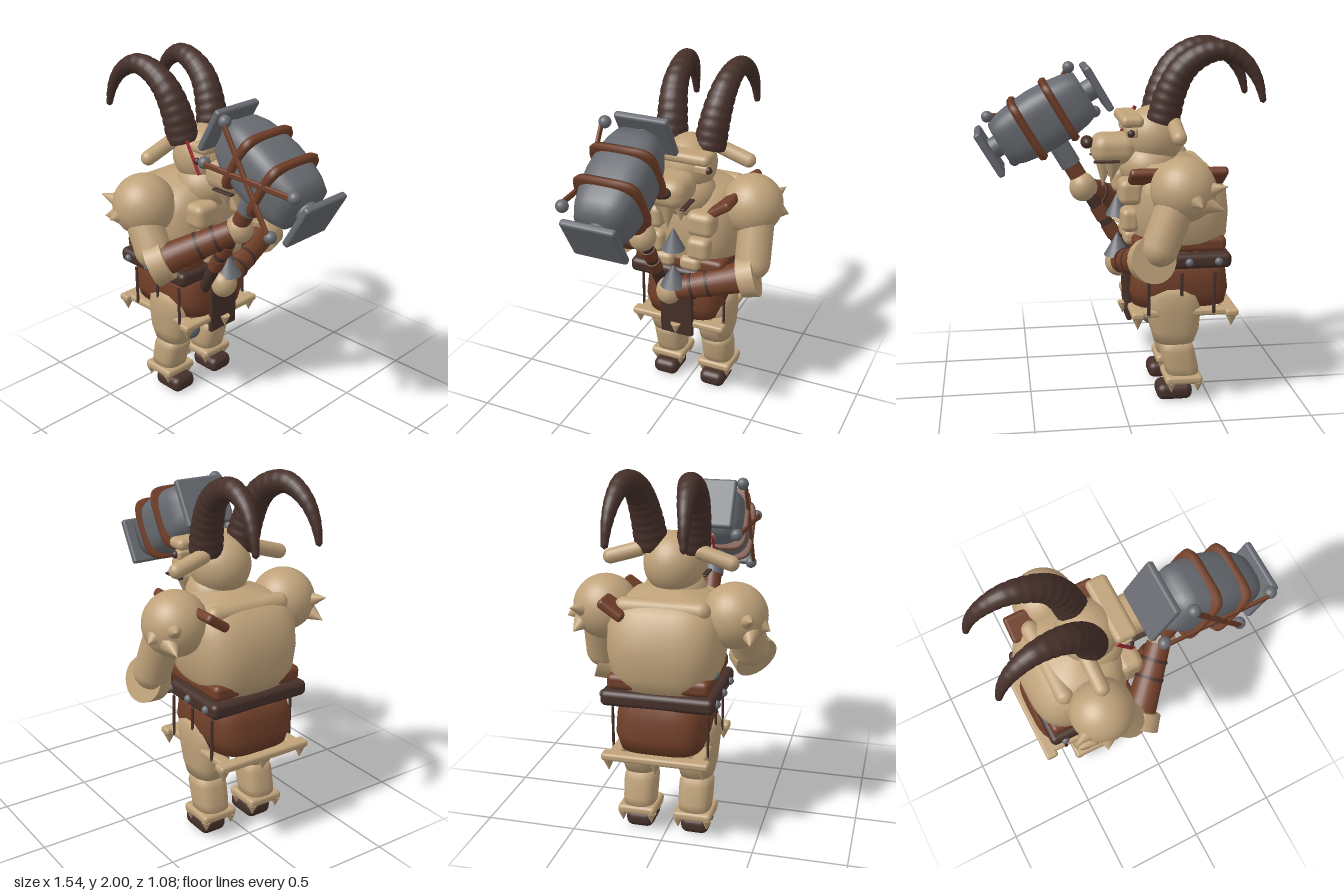
import * as THREE from 'three';
import { RoundedBoxGeometry } from 'three/addons/geometries/RoundedBoxGeometry.js';

const V = (x, y, z) => new THREE.Vector3(x, y, z);
const UP = V(0, 1, 0);

export function createModel() {
  const root = new THREE.Group();
  const mat = (name, color) => Object.assign(new THREE.MeshStandardMaterial({ color }), { name });
  const tan = mat('tan hide', 0xbfa27a), brown = mat('brown leather', 0x713f29);
  const dark = mat('dark horn', 0x46302a), grey = mat('grey iron', 0x676a70), red = mat('red paint', 0xa0262f);

  const add = (name, geo, m, p = [0, 0, 0], parent = root) => {
    const mesh = new THREE.Mesh(geo, m);
    mesh.name = name;
    mesh.position.set(...p);
    parent.add(mesh);
    return mesh;
  };
  const box = (name, m, p, size, r = 0.015, parent = root) =>
    add(name, new RoundedBoxGeometry(...size, 3, Math.min(r, Math.min(...size) * 0.49)), m, p, parent);
  const ball = (name, m, p, rx, ry = rx, rz = rx, parent = root) => {
    const b = add(name, new THREE.SphereGeometry(1, 28, 18), m, p, parent);
    b.scale.set(rx, ry, rz);
    return b;
  };
  // Cylinder from a (radius ra) to b (radius rb)
  const rod = (name, m, a, b, ra, rb = ra, parent = root) => {
    const A = V(...a), B = V(...b), d = B.clone().sub(A);
    const c = add(name, new THREE.CylinderGeometry(rb, ra, d.length(), 24), m, A.clone().add(B).multiplyScalar(0.5).toArray(), parent);
    c.quaternion.setFromUnitVectors(UP, d.normalize());
    return c;
  };
  const bar = (name, m, a, b, r) => {
    const A = V(...a), B = V(...b), d = B.clone().sub(A);
    const c = add(name, new THREE.CapsuleGeometry(r, d.length(), 8, 18), m, A.clone().add(B).multiplyScalar(0.5).toArray());
    c.quaternion.setFromUnitVectors(UP, d.normalize());
    return c;
  };
  const spike = (name, m, base, tip, r) => rod(name, m, base, tip, r, 0);

  // Loft of rounded-square rings [y, halfX, halfZ, centreX, centreZ]
  const loft = (rings, n = 3, seg = 40) => {
    const pos = [], idx = [];
    const pw = (v) => Math.sign(v) * Math.abs(v) ** (2 / n);
    rings.forEach(([y, hx, hz, cx = 0, cz = 0], i) => {
      for (let j = 0; j < seg; j++) {
        const a = (j / seg) * Math.PI * 2;
        pos.push(cx + hx * pw(Math.cos(a)), y, cz + hz * pw(Math.sin(a)));
        if (i === rings.length - 1) continue;
        const k = (j + 1) % seg, p = i * seg, q = p + seg;
        idx.push(p + j, q + j, p + k, q + j, q + k, p + k);
      }
    });
    const g = new THREE.BufferGeometry();
    g.setAttribute('position', new THREE.Float32BufferAttribute(pos, 3));
    g.setIndex(idx);
    g.computeVertexNormals();
    return g;
  };

  // Torso
  add('torso', loft([[0.85, 0, 0, -0.33], [0.86, 0.22, 0.24, -0.33], [0.96, 0.265, 0.285, -0.33], [1.08, 0.275, 0.305, -0.325],
    [1.2, 0.265, 0.3, -0.32], [1.29, 0.225, 0.27, -0.3], [1.35, 0.16, 0.2, -0.28], [1.38, 0, 0, -0.27]]), tan);
  bar('upperBack', tan, [-0.44, 1.3, -0.2], [-0.44, 1.3, 0.2], 0.05);
  ball('neck', tan, [-0.17, 1.32, 0], 0.16, 0.14, 0.17);
  for (const s of [1, -1]) {
    box('chestPlate', tan, [-0.05, 1.21, s * 0.15], [0.13, 0.14, 0.16], 0.04);
    box('upperBellyPlate', tan, [-0.05, 1.05, s * 0.135], [0.1, 0.13, 0.13], 0.035);
    box('lowerBellyPlate', tan, [-0.06, 0.94, s * 0.08], [0.08, 0.08, 0.12], 0.03);
  }
  // Iron pendants on the chest and the belt
  for (const [y, r] of [[1.1, 0.065], [0.87, 0.075]])
    spike('pendant', grey, [0.0, y - 0.06, 0], [0.0, y + 0.07, 0], r);
  const strap = box('shoulderStrap', brown, [-0.29, 1.3, -0.245], [0.52, 0.05, 0.15], 0.02);
  strap.rotation.x = 0.6;

  // Belts, skirt, hem and loincloth
  box('upperBelt', brown, [-0.31, 0.925, 0], [0.5, 0.085, 0.54], 0.03);
  box('belt', dark, [-0.32, 0.84, 0], [0.53, 0.085, 0.6], 0.03);
  for (const s of [1, -1]) for (const x of [-0.51, -0.35, -0.18]) ball('beltStud', grey, [x, 0.84, s * 0.3], 0.022);
  ball('upperStud', grey, [-0.42, 0.96, 0.27], 0.024);
  add('skirt', loft([[0.555, 0, 0, -0.33], [0.56, 0.265, 0.22, -0.33], [0.64, 0.278, 0.245, -0.33], [0.74, 0.265, 0.24, -0.33],
    [0.84, 0.24, 0.22, -0.33], [0.85, 0, 0, -0.33]], 4), brown);
  for (const s of [1, -1]) {
    for (const [x, y, h] of [[-0.5, 0.65, 0.24], [-0.32, 0.7, 0.14], [-0.14, 0.65, 0.24]])
      box('skirtStrip', dark, [x, y, s * 0.255], [0.018, h, 0.012], 0.005);
    box('sideHem', tan, [-0.33, 0.535, s * 0.22], [0.56, 0.04, 0.07], 0.015);
  }
  for (const x of [-0.6, -0.08]) {
    box('crossHem', tan, [x, 0.535, 0], [0.07, 0.04, 0.57], 0.015);
    for (const z of [-0.25, 0, 0.25]) spike('hemSpike', tan, [x, 0.525, z], [x, 0.45, z], 0.035);
  }
  const cloth = box('loincloth', dark, [-0.05, 0.61, 0], [0.03, 0.32, 0.2], 0.01);
  cloth.rotation.z = -0.04;
  spike('loinclothTooth', tan, [-0.03, 0.53, 0], [-0.03, 0.46, 0], 0.03);

  // Legs
  for (const s of [1, -1]) {
    const z = s * 0.155;
    add('thigh', loft([[0.34, 0, 0, -0.3, z], [0.35, 0.11, 0.09, -0.3, z], [0.42, 0.135, 0.105, -0.3, z], [0.55, 0.155, 0.115, -0.29, z],
      [0.63, 0.155, 0.112, -0.28, z], [0.67, 0.1, 0.09, -0.28, z], [0.68, 0, 0, -0.28, z]], 2.6), tan);
    add('shin', loft([[0.13, 0, 0, -0.35, z], [0.14, 0.09, 0.085, -0.35, z], [0.2, 0.095, 0.09, -0.34, z], [0.3, 0.097, 0.092, -0.315, z],
      [0.345, 0.085, 0.08, -0.31, z], [0.355, 0, 0, -0.31, z]], 2.8), tan);
    box('ankleCuff', tan, [-0.345, 0.135, z], [0.21, 0.05, 0.21], 0.02);
    for (const dx of [-0.08, 0.07]) for (const dz of [-0.08, 0.08])
      spike('ankleSpike', tan, [-0.345 + dx, 0.12, z + dz], [-0.345 + dx, 0.06, z + dz], 0.028);
    box('hoof', dark, [-0.3, 0.053, z], [0.2, 0.095, 0.155], 0.04);
  }
  ball('kneePatch', grey, [-0.215, 0.41, 0.105], 0.06);

  // Arms: shoulder, elbow and hand positions differ on each side
  const arms = [
    { s: 1, elbow: [-0.13, 0.98, 0.42], hand: [0.18, 1.18, 0.1] },
    { s: -1, elbow: [-0.13, 0.9, -0.42], hand: [-0.01, 0.76, 0.03] },
  ];
  for (const { s, elbow, hand } of arms) {
    const E = V(...elbow), H = V(...hand), at = (t) => E.clone().lerp(H, t).toArray();
    ball('shoulder', tan, [-0.3, 1.25, s * 0.345], 0.172);
    bar('upperArm', tan, [-0.25, 1.17, s * 0.39], [-0.17, elbow[1] + 0.06, s * 0.405], 0.1);
    rod('elbowCuff', tan, at(-0.05), at(0.14), 0.125, 0.115);
    rod('forearm', brown, at(0.1), at(0.9), 0.088, 0.065);
    for (const t of [0.5, 0.7]) rod('forearmBand', dark, at(t), at(t + 0.035), 0.08 - 0.02 * (t - 0.5), 0.078 - 0.02 * (t - 0.5));
    ball('hand', tan, hand, 0.075, 0.082, 0.075);
    spike('shoulderSpike', tan, [-0.41, 1.26, s * 0.42], [-0.51, 1.29, s * 0.47], 0.05);
    spike('shoulderSpike', tan, [-0.4, 1.19, s * 0.44], [-0.5, 1.16, s * 0.46], 0.05);
    spike('shoulderSpike', tan, [-0.34, 1.22, s * 0.49], [-0.36, 1.2, s * 0.54], 0.045);
  }

  // Head
  ball('cranium', tan, [-0.2, 1.48, 0], 0.168, 0.165, 0.16);
  box('brow', tan, [-0.06, 1.58, -0.01], [0.12, 0.06, 0.37], 0.028);
  box('snout', tan, [0.02, 1.415, 0], [0.25, 0.165, 0.22], 0.07);
  ball('nose', dark, [0.165, 1.45, 0], 0.035, 0.035, 0.06);
  for (const s of [1, -1]) {
    bar('ear', tan, [-0.28, 1.565, s * 0.16], [-0.28, 1.515, s * 0.32], 0.04);
    box('mouthLine', dark, [0.07, 1.36, s * 0.112], [0.14, 0.012, 0.03], 0.004);
    box('eyeSocket', tan, [-0.06, 1.52, s * 0.14], [0.06, 0.05, 0.08], 0.015);
    ball('eye', dark, [-0.05, 1.52, s * 0.18], 0.02);
  }
  const scar = box('scar', red, [-0.08, 1.53, 0.185], [0.022, 0.19, 0.009], 0.004);
  scar.rotation.z = 0.5;
  // Beard tufts
  for (const [x, z, l] of [[0.07, 0, 0.15], [0.03, 0.06, 0.11], [0.03, -0.06, 0.11]])
    spike('beard', tan, [x, 1.36, z], [x + 0.01, 1.35 - l, z], 0.055);

  // Horns: tapered, ridged tubes
  for (const s of [1, -1]) {
    const curve = new THREE.CatmullRomCurve3([[-0.23, 1.57, 0.11], [-0.265, 1.72, 0.125], [-0.33, 1.85, 0.14], [-0.43, 1.925, 0.15],
      [-0.54, 1.945, 0.162], [-0.655, 1.885, 0.175], [-0.72, 1.79, 0.185], [-0.755, 1.67, 0.19]].map(([x, y, z]) => V(x, y, s * z)));
    const N = 72, R = 20, g = new THREE.TubeGeometry(curve, N, 1, R);
    const p = g.attributes.position, v = V(0, 0, 0);
    for (let i = 0; i <= N; i++) {
      const t = i / N, c = curve.getPointAt(t);
      const r = i === N ? 0 : (0.09 - 0.075 * t ** 1.4) * (i % 4 === 0 ? 0.95 : 1);
      for (let j = 0; j <= R; j++) {
        const k = i * (R + 1) + j;
        v.fromBufferAttribute(p, k).sub(c).multiplyScalar(r).add(c);
        p.setXYZ(k, v.x, v.y, v.z);
      }
    }
    g.computeVertexNormals();
    add('horn', g, dark);
  }

  // War hammer: handle along local y, head along local x
  const hammer = new THREE.Group();
  hammer.name = 'hammer';
  hammer.position.set(0.395, 1.565, 0.11);
  hammer.rotation.z = -0.53;
  root.add(hammer);
  rod('handle', dark, [0, -1.03, 0], [0, -0.1, 0], 0.036, 0.036, hammer);
  rod('collar', grey, [0, -0.3, 0], [0, -0.1, 0], 0.056, 0.056, hammer);
  rod('upperGrip', brown, [0, -0.41, 0], [0, -0.28, 0], 0.048, 0.048, hammer);
  for (const y of [-0.62, -0.74]) rod('gripWrap', brown, [0, y - 0.04, 0], [0, y + 0.04, 0], 0.042, 0.042, hammer);
  const head = add('hammerHead', loft([[-0.275, 0, 0], [-0.27, 0.125, 0.125], [-0.2, 0.15, 0.15], [-0.1, 0.165, 0.167], [0, 0.17, 0.172],
    [0.1, 0.165, 0.167], [0.2, 0.15, 0.15], [0.27, 0.125, 0.125], [0.275, 0, 0]], 3.2), grey, [0, 0, 0], hammer);
  head.rotation.z = -Math.PI / 2;
  for (const s of [1, -1]) {
    box('strikingPlate', grey, [s * 0.34, 0, -0.005], [0.04, 0.27, 0.3], 0.015, hammer);
    rod('plateCore', grey, [s * 0.26, 0, 0], [s * 0.33, 0, 0], 0.06, 0.06, hammer);
    const band = add('hammerBand', loft([[-0.025, 0, 0], [-0.022, 0.175, 0.178], [0, 0.185, 0.187], [0.022, 0.175, 0.178], [0.025, 0, 0]], 5),
      brown, [s * 0.1, 0, 0], hammer);
    band.rotation.z = -Math.PI / 2;
    const cross = box('crossStrap', brown, [0, 0, 0.176], [0.6, 0.032, 0.018], 0.008, hammer);
    cross.rotation.z = s * Math.atan2(0.145, 0.265);
    for (const t of [1, -1]) ball('rivet', grey, [s * 0.265, t * 0.145, 0.16], 0.033, 0.033, 0.033, hammer);
  }
  return root;
}
